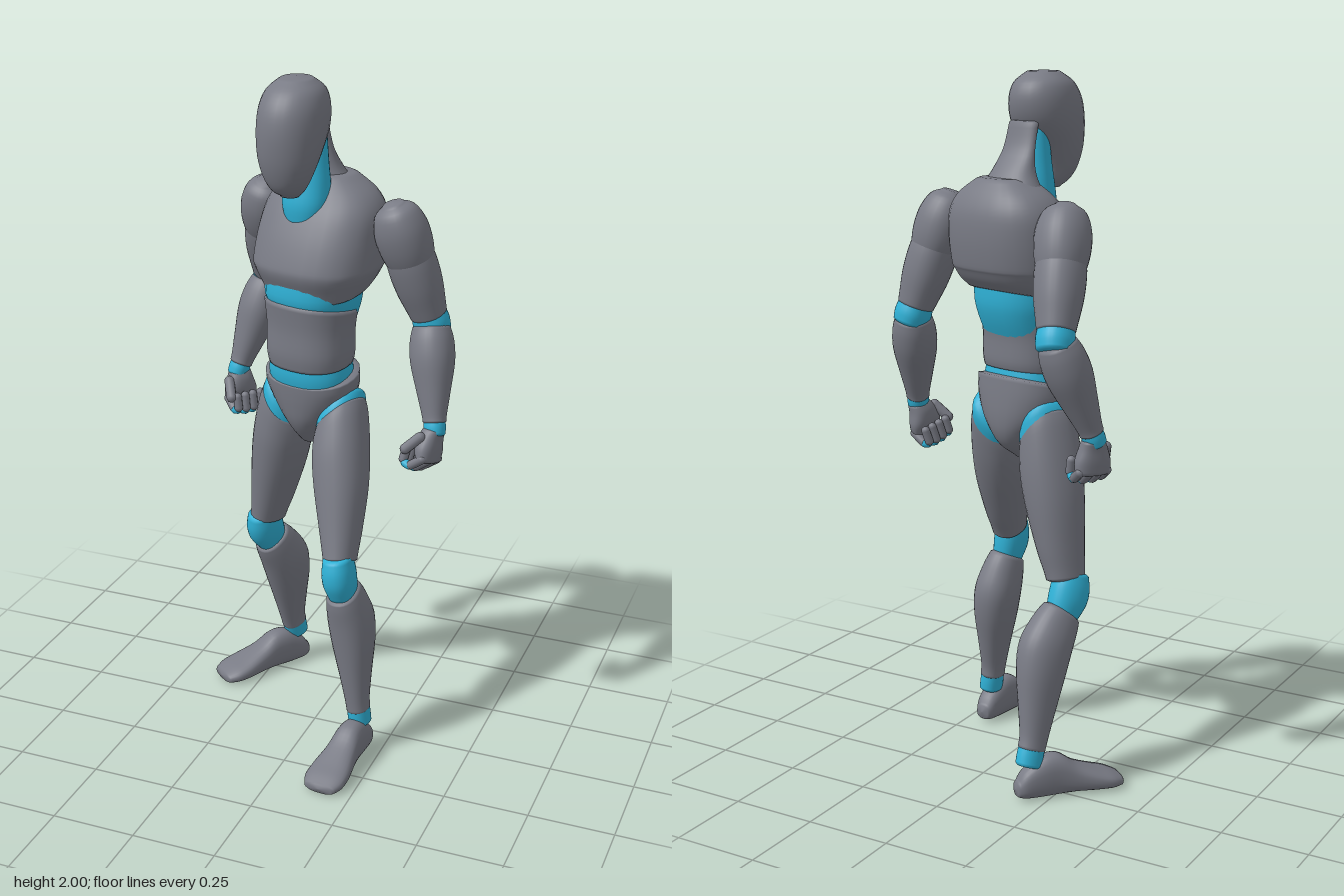
import * as THREE from 'three';

const V = (a) => new THREE.Vector3(...a);
const grey = new THREE.MeshStandardMaterial({ color: 0x797b85 });
grey.name = 'grey shell';
const cyan = new THREE.MeshStandardMaterial({ color: 0x2fb1d6 });
cyan.name = 'cyan joint';

// Frame at point a, local y toward b, local z as close to front as possible
function frame(a, b, front) {
  const y = V(b).sub(V(a)).normalize();
  const z = V(front);
  z.addScaledVector(y, -z.dot(y)).normalize();
  const x = new THREE.Vector3().crossVectors(y, z);
  return new THREE.Matrix4().makeBasis(x, y, z).setPosition(V(a));
}

function spline(p0, p1, p2, p3, t) {
  return p1 + 0.5 * t * (p2 - p0 + t * (2 * p0 - 5 * p1 + 4 * p2 - p3 + t * (3 * (p1 - p2) + p3 - p0)));
}

// Smooth loft through sections [t, halfWidth, zFront, zBack, xOffset, slopeX, slopeZ]
function loft(name, mat, a, b, front, sections, power = 0.9) {
  const N = 28, SUB = 4;
  const L = V(a).distanceTo(V(b));
  const full = sections.map((s) => [0, 1, 2, 3, 4, 5, 6].map((i) => s[i] || 0));
  const rings = [];
  const last = full.length - 1;
  const at = (i) => full[Math.max(0, Math.min(last, i))];
  for (let i = 0; i < last; i++) {
    for (let k = 0; k < SUB; k++) {
      rings.push(at(i).map((v, c) => spline(at(i - 1)[c], v, at(i + 1)[c], at(i + 2)[c], k / SUB)));
    }
  }
  rings.push(full[last]);
  // rounded end caps
  const shrink = (s, k, d) => {
    const mid = (s[2] + s[3]) / 2, half = (s[2] - s[3]) / 2 * k;
    return [s[0] + d / L, s[1] * k, mid + half, mid - half, s[4], s[5], s[6]];
  };
  const s0 = full[0], s1 = full[last];
  rings.unshift(shrink(s0, 0, -0.008), shrink(s0, 0.85, -0.005));
  rings.push(shrink(s1, 0.85, 0.005), shrink(s1, 0, 0.008));

  const pos = [], idx = [];
  const pw = (v) => Math.sign(v) * Math.pow(Math.abs(v), power);
  rings.forEach(([t, hx, zf, zb, cx, slopeX, slopeZ], i) => {
    for (let j = 0; j < N; j++) {
      const ang = (j / N) * Math.PI * 2;
      const x = cx + hx * pw(Math.cos(ang));
      const z = (zf + zb) / 2 + ((zf - zb) / 2) * pw(Math.sin(ang));
      pos.push(x, t * L + slopeX * x + slopeZ * z, z);
      if (i < rings.length - 1) {
        const p = i * N + j, q = i * N + ((j + 1) % N);
        idx.push(p, p + N, q, q, p + N, q + N);
      }
    }
  });
  const geo = new THREE.BufferGeometry();
  geo.setAttribute('position', new THREE.Float32BufferAttribute(pos, 3));
  geo.setIndex(idx);
  geo.applyMatrix4(frame(a, b, front));
  geo.computeVertexNormals();
  const mesh = new THREE.Mesh(geo, mat);
  mesh.name = name;
  return mesh;
}

// Upright loft whose section t values are plain heights
const upright = (name, mat, x, z, front, sections, power) =>
  loft(name, mat, [x, 0, z], [x, 1, z], front, sections, power);

// Round limb sections from [t, radius] pairs
const round = (list) => list.map(([t, r]) => [t, r, r, -r]);

function bone(name, mat, p, q, r) {
  const d = V(q).sub(V(p));
  const m = new THREE.Mesh(new THREE.CapsuleGeometry(r, d.length(), 4, 10), mat);
  m.position.copy(V(p)).addScaledVector(d, 0.5);
  m.quaternion.setFromUnitVectors(new THREE.Vector3(0, 1, 0), d.normalize());
  m.name = name;
  return m;
}

function makeTorso() {
  const g = new THREE.Group();
  g.name = 'torso';
  const chestFront = [-0.28, 0, 0.96], hipFront = [-0.25, 0, 0.97];
  g.add(
    upright('chest', grey, -0.022, -0.09, chestFront, [
      [1.395, 0.152, 0.13, -0.105, 0, 0, -0.18], [1.42, 0.168, 0.142, -0.13, 0, 0, -0.12],
      [1.455, 0.184, 0.16, -0.147, 0, 0, -0.05], [1.48, 0.188, 0.157, -0.155], [1.55, 0.188, 0.132, -0.163],
      [1.62, 0.178, 0.095, -0.16], [1.67, 0.145, 0.055, -0.14], [1.71, 0.085, 0.02, -0.11]], 0.82),
    upright('ribJoint', cyan, -0.03, -0.065, chestFront, [
      [1.27, 0.115, 0.09, -0.09], [1.32, 0.125, 0.1, -0.112], [1.37, 0.138, 0.123, -0.125],
      [1.43, 0.14, 0.12, -0.125]], 0.85),
    upright('abdomen', grey, -0.033, -0.06, hipFront, [
      [1.175, 0.125, 0.105, -0.095, 0, 0, -0.1], [1.21, 0.13, 0.112, -0.1], [1.28, 0.13, 0.11, -0.1, 0, 0, 0.05],
      [1.345, 0.136, 0.117, -0.108, 0, 0, 0.15]], 0.85),
    upright('waistJoint', cyan, -0.034, -0.06, hipFront, [
      [1.09, 0.12, 0.09, -0.09], [1.14, 0.127, 0.1, -0.098], [1.19, 0.118, 0.098, -0.09]], 0.85),
    upright('pelvis', grey, -0.036, -0.065, hipFront, [
      [0.925, 0.027, 0.035, -0.035], [0.96, 0.048, 0.065, -0.085], [1.0, 0.08, 0.085, -0.108],
      [1.05, 0.118, 0.095, -0.115], [1.1, 0.142, 0.1, -0.113, 0, 0, -0.1],
      [1.14, 0.146, 0.102, -0.108, 0, 0, -0.25]], 0.9),
    upright('neckJoint', cyan, -0.04, -0.05, [-0.15, 0, 1], [
      [1.59, 0.058, 0.065, -0.05], [1.64, 0.07, 0.07, -0.05], [1.7, 0.068, 0.06, -0.045],
      [1.76, 0.062, 0.05, -0.04], [1.85, 0.055, 0.04, -0.035]]),
    upright('upperBack', grey, -0.045, -0.05, [-0.2, 0, 0.98], [
      [1.6, 0.13, -0.01, -0.165], [1.67, 0.105, -0.02, -0.15], [1.73, 0.07, -0.03, -0.115],
      [1.79, 0.055, -0.03, -0.07], [1.86, 0.05, -0.01, -0.05]]),
    upright('head', grey, -0.055, 0, [-0.08, 0, 1], [
      [1.682, 0.03, 0.068, 0.012], [1.7, 0.047, 0.098, 0.0], [1.735, 0.067, 0.117, -0.01],
      [1.79, 0.085, 0.131, -0.04], [1.86, 0.095, 0.135, -0.09], [1.92, 0.093, 0.124, -0.104],
      [1.965, 0.078, 0.095, -0.09], [1.991, 0.05, 0.055, -0.055]], 0.95));
  return g;
}

function makeLeg(side, hip, knee, ankle, front, heel, footDir) {
  const s = side === 'left' ? 1 : -1;
  const g = new THREE.Group();
  g.name = side + 'Leg';
  const toe = [heel[0] + footDir[0], 0, heel[2] + footDir[1]];
  const len = V(heel).distanceTo(V(toe));
  g.add(
    loft('hipJoint', cyan, hip, knee, front, [
      [-0.1, 0.045, 0.055, -0.065, 0, 0.7 * s], [-0.04, 0.065, 0.072, -0.085, 0, 0.7 * s],
      [0.1, 0.07, 0.075, -0.085, 0, 0.7 * s]]),
    loft('thigh', grey, hip, knee, front, [
      [0.0, 0.068, 0.074, -0.083, 0, 0.7 * s], [0.08, 0.076, 0.08, -0.09, 0, 0.55 * s],
      [0.25, 0.08, 0.084, -0.095, 0, 0.2 * s], [0.45, 0.076, 0.078, -0.09], [0.7, 0.06, 0.066, -0.074],
      [0.84, 0.05, 0.06, -0.06], [0.9, 0.046, 0.058, -0.055]]),
    loft('kneeJoint', cyan, knee, ankle, front, [
      [-0.13, 0.04, 0.05, -0.046], [-0.05, 0.046, 0.062, -0.052], [0.04, 0.046, 0.062, -0.052],
      [0.14, 0.038, 0.045, -0.048]]),
    loft('shin', grey, knee, ankle, front, [
      [0.12, 0.047, 0.05, -0.06, 0, 0, 0.35], [0.2, 0.056, 0.05, -0.085, 0, 0, 0.15],
      [0.33, 0.064, 0.046, -0.108], [0.5, 0.06, 0.043, -0.1], [0.7, 0.046, 0.04, -0.072],
      [0.88, 0.035, 0.038, -0.046], [0.96, 0.033, 0.038, -0.042]]),
    loft('ankleJoint', cyan, knee, ankle, front, [
      [0.93, 0.031, 0.036, -0.039], [1.0, 0.032, 0.037, -0.04], [1.06, 0.032, 0.036, -0.038]]),
    loft('foot', grey, heel, toe, [0, 1, 0], [
      [0.01, 0.024, 0.06, 0.012], [0.03, 0.033, 0.088, 0.006], [0.08, 0.039, 0.122, 0.003],
      [0.13, 0.042, 0.124, 0.003], [0.18, 0.049, 0.092, 0.004], [0.24, 0.06, 0.066, 0.003],
      [0.285, 0.061, 0.05, 0.003], [0.315, 0.048, 0.036, 0.005]].map(([d, ...r]) => [d / len, ...r]), 0.8));
  return g;
}

function makeHand(side, wrist, end, front) {
  const m = side === 'left' ? 1 : -1;
  const g = new THREE.Group();
  g.name = side + 'Hand';
  g.add(loft('palm', grey, [0, 0, 0], [0, 1, 0], [0, 0, 1], [
    [0.01, 0.026, 0.03, -0.03], [0.03, 0.028, 0.038, -0.035, 0.004 * m], [0.06, 0.028, 0.047, -0.045, 0.004 * m],
    [0.088, 0.022, 0.046, -0.045, 0]], 0.8));
  // curled fingers
  for (let i = 0; i < 4; i++) {
    const z = 0.036 - 0.024 * i, drop = i === 0 || i === 3 ? 0 : 0.005;
    g.add(
      bone('knuckle', grey, [-0.004 * m, 0.085 + drop, z], [0.025 * m, 0.107 + drop, z], 0.0125),
      bone('fingerJoint', cyan, [0.032 * m, 0.11 + drop, z], [0.044 * m, 0.107 + drop, z], 0.0115),
      bone('fingertip', grey, [0.052 * m, 0.098 + drop, z], [0.048 * m, 0.068, z], 0.012));
  }
  g.add(bone('thumb', grey, [0.012 * m, 0.03, 0.04], [0.042 * m, 0.068, 0.052], 0.014));
  g.applyMatrix4(frame(wrist, end, front));
  g.scale.setScalar(1.1);
  return g;
}

function makeArm(side, shoulder, elbow, wrist, end, front, handFront) {
  const g = new THREE.Group();
  g.name = side + 'Arm';
  g.add(
    loft('shoulder', grey, shoulder, elbow, front, round([
      [-0.24, 0.032], [-0.17, 0.058], [0, 0.074], [0.2, 0.074], [0.38, 0.062], [0.48, 0.045]])),
    loft('upperArm', grey, shoulder, elbow, front, round([
      [0.1, 0.058], [0.35, 0.068], [0.6, 0.066], [0.82, 0.056], [0.92, 0.051]])),
    loft('elbowJoint', cyan, shoulder, elbow, front, round([[0.88, 0.047], [1.0, 0.052], [1.1, 0.048]])),
    loft('forearm', grey, elbow, wrist, front, round([
      [0.05, 0.052], [0.18, 0.061], [0.38, 0.062], [0.65, 0.048], [0.88, 0.035], [0.95, 0.033]])),
    loft('wristJoint', cyan, elbow, wrist, front, round([[0.92, 0.029], [1.0, 0.031], [1.07, 0.029]])),
    makeHand(side, wrist, end, handFront));
  return g;
}

export function createModel() {
  const model = new THREE.Group();
  model.name = 'posedFigure';
  model.add(
    makeTorso(),
    makeLeg('left', [0.062, 1.02, -0.04], [0.13, 0.59, 0.13], [0.185, 0.13, 0.11], [-0.1, 0, 1],
      [0.192, 0, 0.055], [-0.035, 0.328]),
    makeLeg('right', [-0.13, 1.02, -0.1], [-0.222, 0.56, -0.155], [-0.197, 0.13, -0.318], [-0.5, 0, 0.86],
      [-0.168, 0, -0.358], [-0.2, 0.262]),
    makeArm('left', [0.225, 1.588, -0.07], [0.305, 1.31, -0.12], [0.352, 1.03, -0.03], [0.338, 0.88, 0.012],
      [-0.2, 0, 1], [-0.3, 0, 0.95]),
    makeArm('right', [-0.227, 1.588, -0.195], [-0.268, 1.32, -0.312], [-0.338, 1.045, -0.225], [-0.333, 0.9, -0.222],
      [-0.3, 0, 0.95], [-0.6, 0, 0.8]));
  return model;
}
